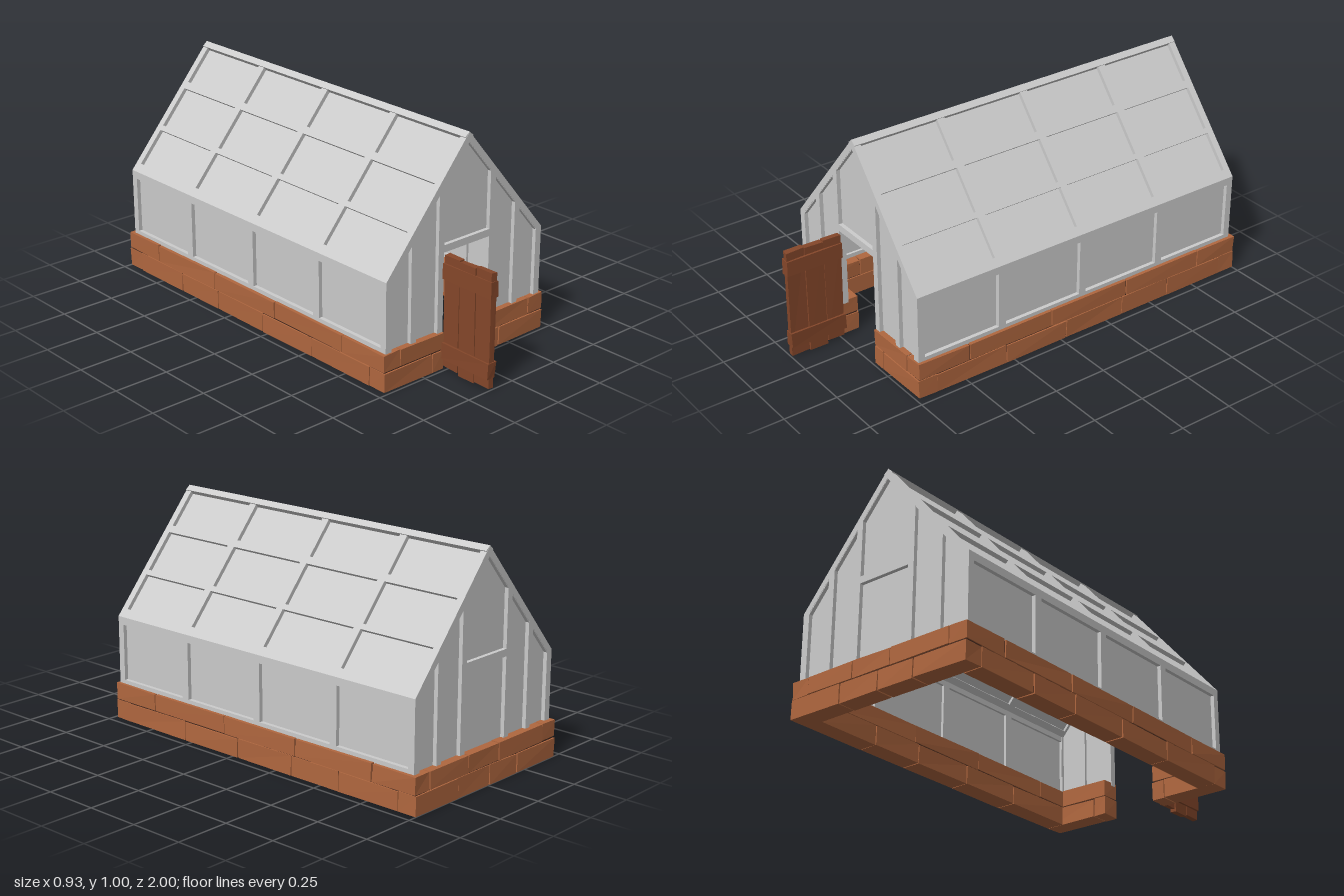
import * as THREE from 'three';

const grey = new THREE.MeshStandardMaterial({ color: 0xcccccc, flatShading: true, side: THREE.DoubleSide });
const brickMat = new THREE.MeshStandardMaterial({ color: 0xb0673f, flatShading: true });
const mortarMat = new THREE.MeshStandardMaterial({ color: 0x4a2c20, flatShading: true });
const woodMat = new THREE.MeshStandardMaterial({ color: 0x85472a, flatShading: true });

const Z0 = -0.9775, Z1 = 0.725, ZC = (Z0 + Z1) / 2, HALF = (Z1 - Z0) / 2; // glass house length
const W = 0.447, EAVE = 0.475, RIDGE = 1.0, BASE = 0.165;
const FRAME = 0.03, GLASS = 0.018; // frame depth, glass recess

const poly = (pts) => pts.map(([x, y]) => new THREE.Vector2(x, y));
const rect = (x0, x1, y0, y1) => [[x0, y0], [x1, y0], [x1, y1], [x0, y1]];

// Small repeatable offset for hand-hewn corners
function jitter(x, y, z, k) {
  const s = Math.sin(x * 127.1 + y * 311.7 + z * 74.7 + k * 19.3) * 43758.5453;
  return s - Math.floor(s) - 0.5;
}

// Box given by its limits, with slightly uneven corners
function block(name, mat, [x0, x1], [y0, y1], [z0, z1], rough = 0) {
  const g = new THREE.BoxGeometry(x1 - x0, y1 - y0, z1 - z0);
  g.translate((x0 + x1) / 2, (y0 + y1) / 2, (z0 + z1) / 2);
  const p = g.attributes.position;
  for (let i = 0; i < p.count; i++) {
    const [x, y, z] = [p.getX(i), p.getY(i), p.getZ(i)];
    p.setXYZ(i, x + rough * jitter(x, y, z, 1), Math.max(0, y + rough * jitter(x, y, z, 2)), z + rough * jitter(x, y, z, 3));
  }
  g.computeVertexNormals();
  const m = new THREE.Mesh(g, mat);
  m.name = name;
  return m;
}

// Frame with openings, outer face at local z = 0, and a recessed sheet of glass in each opening
function glazedPanel(name, outline, openings) {
  const group = new THREE.Group();
  group.name = name;
  const shape = new THREE.Shape(poly(outline));
  shape.holes = openings.map((o) => new THREE.Path(poly(o)));
  const geo = new THREE.ExtrudeGeometry(shape, { depth: FRAME, bevelEnabled: false });
  geo.translate(0, 0, -FRAME);
  const frame = new THREE.Mesh(geo, grey);
  frame.name = name + 'Frame';
  group.add(frame);
  for (const o of openings) {
    const pane = new THREE.Mesh(new THREE.ShapeGeometry(new THREE.Shape(poly(o))), grey);
    pane.name = 'glassPane';
    pane.position.z = -GLASS;
    group.add(pane);
  }
  return group;
}

// Four panes along the length, for each row [v0, v1]
function paneGrid(rows) {
  const columns = [[-0.82, -0.447], [-0.41, -0.018], [0.018, 0.41], [0.447, 0.82]];
  return rows.flatMap(([v0, v1]) => columns.map(([u0, u1]) => rect(u0, u1, v0, v1)));
}

// One side wall and roof slope on +x
function sideAndRoof() {
  const g = new THREE.Group();
  g.name = 'sideAndRoof';
  const L = HALF - 0.001;
  const wall = glazedPanel('sideWall', rect(-L, L, 0.155, EAVE), paneGrid([[0.183, 0.44]]));
  wall.rotation.y = Math.PI / 2;
  wall.position.x = W;

  const len = Math.hypot(W, RIDGE - EAVE);
  const up = new THREE.Vector3(-W, RIDGE - EAVE, 0).divideScalar(len);
  const along = new THREE.Vector3(0, 0, -1);
  const out = along.clone().cross(up);
  const v = (x) => (1 - x / W) * len; // distance up the slope at a given x
  const roof = glazedPanel('roofSlope', rect(-L, L, 0, len),
    paneGrid([[v(0.42), v(0.304)], [v(0.288), v(0.16)], [v(0.138), v(0.018)]]));
  roof.applyMatrix4(new THREE.Matrix4().makeBasis(along, up, out).setPosition(W, EAVE, 0));
  g.add(wall, roof);
  return g;
}

// Gable end, with or without a doorway
function gable(name, doorway) {
  const low = 0.15, sill = 0.16;
  const door = [[-0.13, low], [-0.13, 0.515], [0.13, 0.515], [0.13, low]];
  const outline = [[-W, low], ...(doorway ? door : []), [W, low], [W, EAVE], [0, RIDGE], [-W, EAVE]];
  const openings = [[[-0.13, 0.547], [0.13, 0.547], [0.13, 0.805], [0, 0.957], [-0.13, 0.805]]];
  if (!doorway) openings.push(rect(-0.13, 0.13, sill, 0.515));
  for (const s of [-1, 1]) {
    openings.push([[s * 0.16, sill], [s * 0.28, sill], [s * 0.28, 0.63], [s * 0.16, 0.77]]);
    openings.push([[s * 0.31, sill], [s * 0.415, sill], [s * 0.415, 0.472], [s * 0.31, 0.595]]);
  }
  const g = glazedPanel(name, outline, openings);
  g.position.z = HALF;
  return g;
}

function brickBase() {
  const g = new THREE.Group();
  g.name = 'brickBase';
  const X = 0.463, T = 0.088, zb = -1, zf = 0.735, gap = 0.0025, in_ = 0.006;
  const courses = [[0, 0.085], [0.09, BASE]];

  // Row of bricks between successive joints, along x or z
  const row = (joints, axis, y, across) => {
    for (let i = 0; i + 1 < joints.length; i++) {
      const span = [joints[i] + gap, joints[i + 1] - gap];
      g.add(axis === 'x' ? block('brick', brickMat, span, y, across, 0.004)
        : block('brick', brickMat, across, y, span, 0.004));
    }
  };
  const front = [zf - T, zf], back = [zb, zb + T];
  // Lower course: ends run full width
  row([-X, -0.195, -0.01, 0.195, X], 'x', courses[0], back);
  // Upper course: sides run full length
  row([-X + T, -0.07, 0.13, X - T], 'x', courses[1], back);
  for (const s of [-1, 1]) {
    const mirror = (a) => a.map((x) => s * x).sort((p, q) => p - q);
    row(mirror([0.13, 0.195, X]), 'x', courses[0], front);
    row(mirror([0.13, X - T]), 'x', courses[1], front);
    const across = mirror([X - T, X]);
    row([zb + T, -0.6, -0.34, -0.03, 0.29, zf - T], 'z', courses[0], across);
    row([zb, -0.775, -0.36, 0.05, 0.48, zf], 'z', courses[1], across);
    // Mortar core
    g.add(block('mortar', mortarMat, mirror([X - T + in_, X - in_]), [in_, BASE - in_], [zb + in_, zf - in_]));
    g.add(block('mortar', mortarMat, mirror([0.13 + in_, X - T + in_]), [in_, BASE - in_], [front[0] + in_, front[1] - in_]));
  }
  g.add(block('mortar', mortarMat, [-X + T, X - T], [in_, BASE - in_], [back[0] + in_, back[1] - in_]));
  return g;
}

// Plank door standing open at the front
function openDoor() {
  const g = new THREE.Group();
  g.name = 'door';
  const planks = [[0.735, 0.818, 0.012, 0.51], [0.821, 0.908, 0, 0.505], [0.911, 0.995, 0.006, 0.512]];
  for (const [z0, z1, y0, y1] of planks)
    g.add(block('doorPlank', woodMat, [-0.134, -0.107], [y0, y1], [z0, z1], 0.005));
  for (const [y0, y1] of [[0.05, 0.12], [0.405, 0.475]])
    g.add(block('doorBatten', woodMat, [-0.141, -0.1], [y0, y1], [0.73, 0.998], 0.006));
  return g;
}

export function createModel() {
  const model = new THREE.Group();
  model.name = 'greenhouse';

  const house = new THREE.Group();
  house.name = 'glassHouse';
  house.position.z = ZC;
  const otherSide = sideAndRoof();
  otherSide.rotation.y = Math.PI;
  const backEnd = new THREE.Group();
  backEnd.name = 'backEnd';
  backEnd.add(gable('backGable', false));
  backEnd.rotation.y = Math.PI;
  house.add(sideAndRoof(), otherSide, gable('frontGable', true), backEnd);

  model.add(house, brickBase(), openDoor());
  return model;
}
